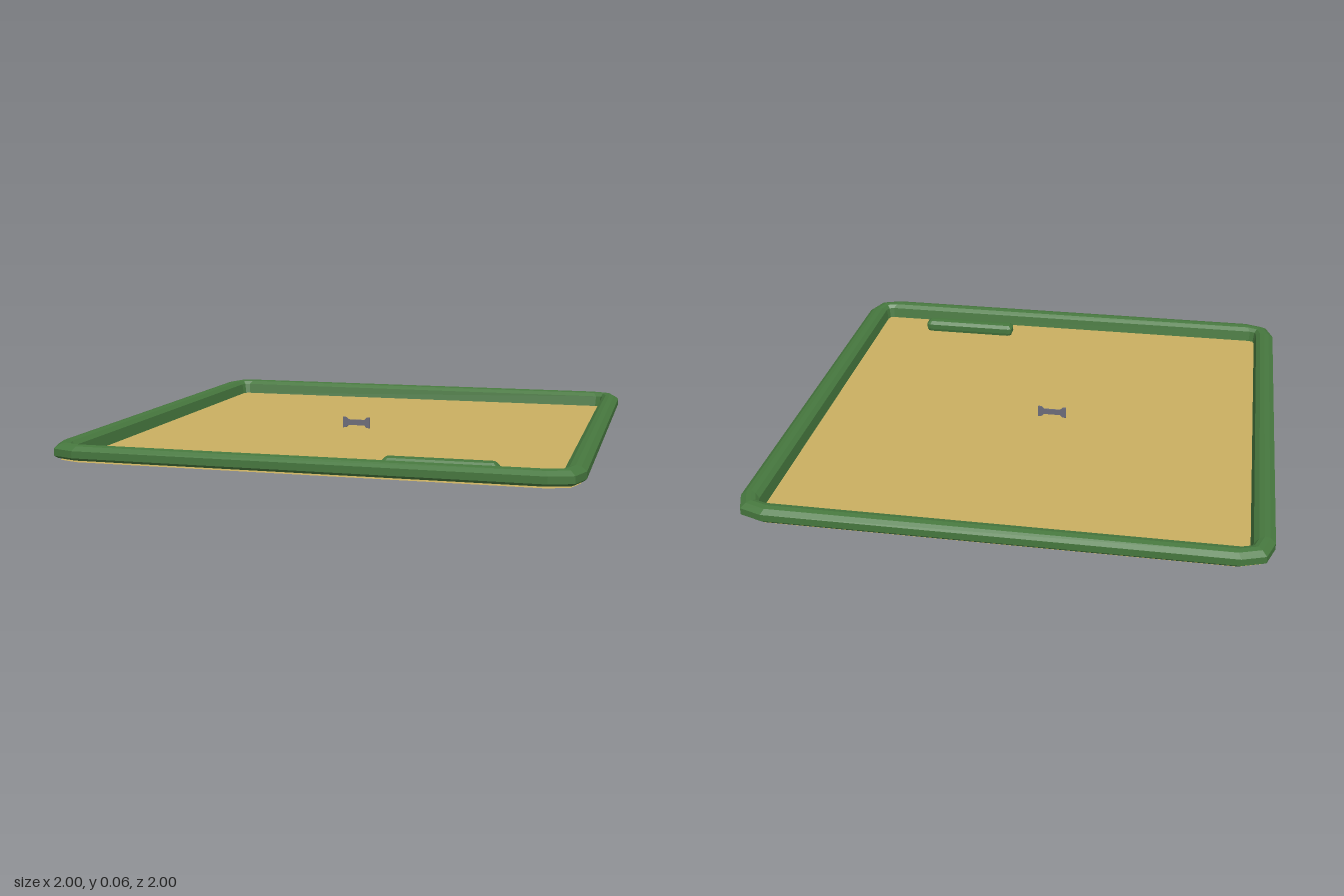
import * as THREE from 'three';

const paint = (name, color, extra = {}) => {
  const m = new THREE.MeshStandardMaterial({ color, ...extra });
  m.name = name;
  return m;
};

// Rectangle with softened corners: three points per corner, running from +x towards +z
function outline(hx, hz, cut, y) {
  const mid = cut * 0.26;
  const corner = [[0, cut], [mid, mid], [cut, 0]];
  const points = [];
  [[1, 1], [-1, 1], [-1, -1], [1, -1]].forEach(([sx, sz], i) => {
    const order = i % 2 ? [...corner].reverse() : corner;
    order.forEach(([dx, dz]) => points.push([sx * (hx - dx), y, sz * (hz - dz)]));
  });
  return points;
}

// Skin joining a stack of outlines
function loft(rings) {
  const n = rings[0].length;
  const index = [];
  for (let r = 0; r < rings.length - 1; r++) {
    for (let i = 0; i < n; i++) {
      const a = r * n + i, b = r * n + (i + 1) % n;
      index.push(a, a + n, b, b, a + n, b + n);
    }
  }
  const g = new THREE.BufferGeometry();
  g.setAttribute('position', new THREE.Float32BufferAttribute(rings.flat(2), 3));
  g.setIndex(index);
  g.computeVertexNormals();
  return g;
}

export function createModel() {
  const group = new THREE.Group();
  const hedge = paint('hedge green', 0x46773e, { flatShading: true });
  const sand = paint('sand', 0xc9af61, { side: THREE.DoubleSide });
  const grey = paint('slate grey', 0x6c6c7a);

  const add = (name, geometry, material, x = 0, y = 0, z = 0) => {
    const mesh = new THREE.Mesh(geometry, material);
    mesh.name = name;
    mesh.position.set(x, y, z);
    group.add(mesh);
    return mesh;
  };

  // Sand floor
  const floor = new THREE.Shape(outline(0.98, 0.98, 0.11, 0).map(([x, , z]) => new THREE.Vector2(x, -z)));
  add('sandFloor', new THREE.ShapeGeometry(floor).rotateX(-Math.PI / 2), sand, 0, 0.002, 0);

  // Border hedge, open underneath: half size, corner cut, height
  const border = [
    [0.99, 0.12, 0.01], [1, 0.12, 0.02], [1, 0.12, 0.047], [0.98, 0.11, 0.062],
    [0.96, 0.09, 0.066], [0.94, 0.06, 0.062], [0.922, 0.03, 0.048], [0.914, 0.025, 0.002],
  ];
  add('borderHedge', loft(border.map(([h, c, y]) => outline(h, h, c, y))), hedge);

  // Short free-standing hedge: half length, half depth, corner cut, height
  const short = [
    [0.208, 0.032, 0.018, 0.002], [0.213, 0.035, 0.018, 0.014], [0.213, 0.035, 0.018, 0.036],
    [0.2, 0.022, 0.012, 0.05], [0.18, 0, 0, 0.052],
  ];
  add('shortHedge', loft(short.map(s => outline(...s))), hedge, 0.475, 0, 0.815);

  // Thin upright marker, narrow in the middle
  const half = [[-0.06, 0.004], [-0.045, 0.006], [-0.035, 0.016], [0.035, 0.016], [0.045, 0.006], [0.06, 0.004]];
  const marker = new THREE.Shape([...half, ...half.map(([x, y]) => [-x, 0.056 - y])]
    .map(([x, y]) => new THREE.Vector2(x, y)));
  add('centreMarker', new THREE.ExtrudeGeometry(marker, { depth: 0.006, bevelEnabled: false }), grey, -0.06, 0, -0.006);

  group.children.forEach(m => { m.position.y -= 0.002; });
  return group;
}
